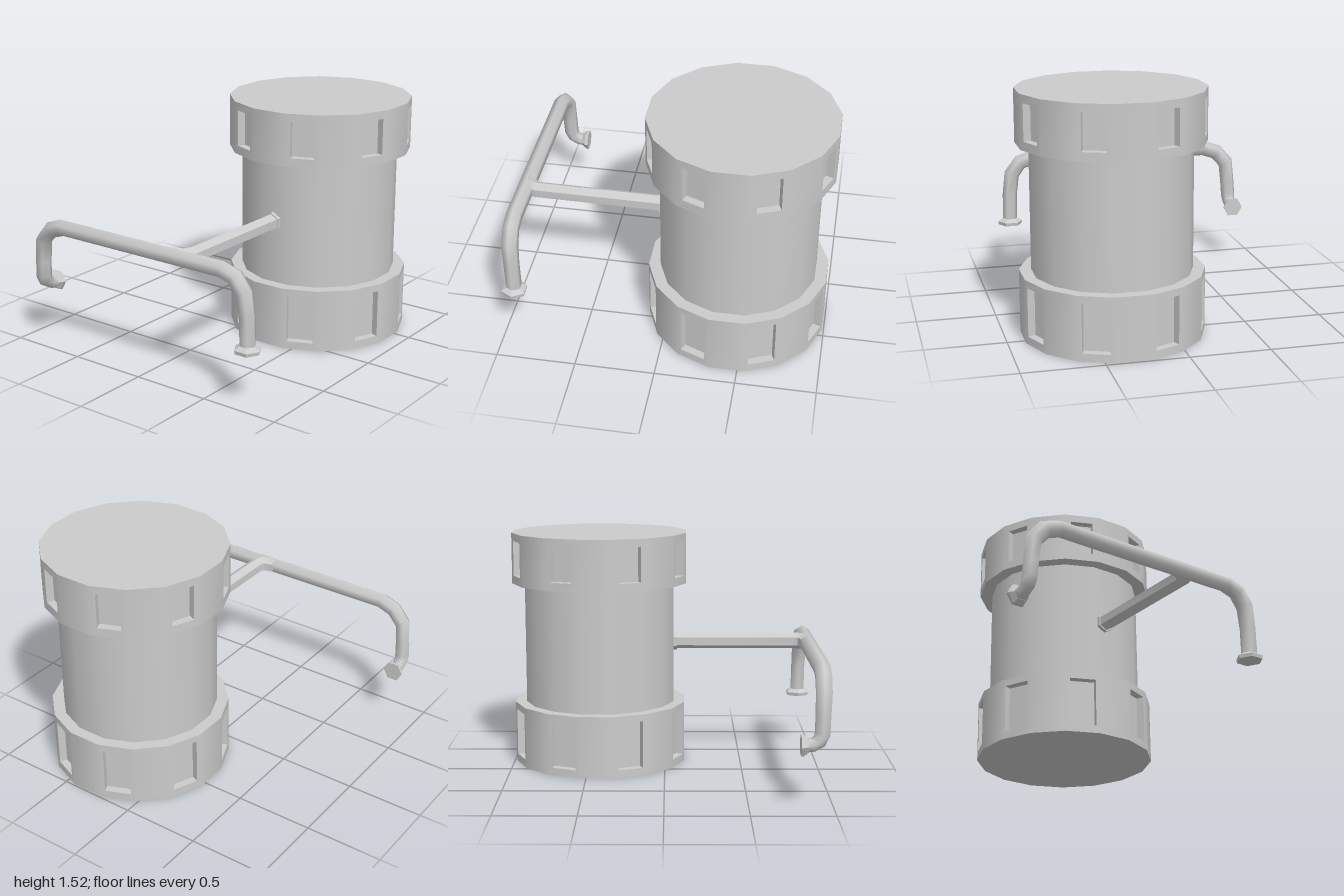
import * as THREE from 'three';
import { toCreasedNormals } from 'three/addons/utils/BufferGeometryUtils.js';

const grey = new THREE.MeshStandardMaterial({ color: 0xcccccc });
const V = (x, y, z) => new THREE.Vector3(x, y, z);

function fromTriangles(points, crease) {
  const g = new THREE.BufferGeometry().setFromPoints(points);
  return toCreasedNormals(g, crease);
}

function add(group, name, geometry) {
  const mesh = new THREE.Mesh(geometry, grey);
  mesh.name = name;
  group.add(mesh);
  return mesh;
}

// Sixteen-sided drum with a recessed window in every second side
function windowedRing(apothem, y0, y1, winWidth, w0, w1, depth) {
  const sides = 16, half = apothem * Math.tan(Math.PI / sides);
  const tris = [];
  const quad = (a, b, c, d) => tris.push(a, b, c, a, c, d);
  for (let i = 0; i < sides; i++) {
    const a = (i / sides) * Math.PI * 2, s = Math.sin(a), c = Math.cos(a);
    const rect = (h, lo, hi, d) => [[-h, lo], [h, lo], [h, hi], [-h, hi]].map(
      ([u, y]) => V(s * (apothem - d) + c * u, y, c * (apothem - d) - s * u));
    const outer = rect(half, y0, y1, 0);
    if (i % 2) {
      const rim = rect(winWidth / 2, w0, w1, 0);
      const floor = rect(winWidth / 2, w0, w1, depth);
      for (let k = 0; k < 4; k++) {
        const n = (k + 1) % 4;
        quad(outer[k], outer[n], rim[n], rim[k]);
        quad(rim[k], rim[n], floor[n], floor[k]);
      }
      quad(...floor);
    } else {
      quad(...outer);
    }
    tris.push(V(0, y1, 0), outer[3], outer[2]);
    tris.push(V(0, y0, 0), outer[1], outer[0]);
  }
  return fromTriangles(tris, 0.6);
}

// Hexagonal section swept along rows of [x, y, z, radius]; up points to a corner
function hexPipe(rows, up, crease) {
  const sides = 6, tris = [];
  const pts = rows.map(([x, y, z]) => V(x, y, z));
  const dir = (i) => pts[i + 1].clone().sub(pts[i]).normalize();
  const last = pts.length - 1;
  let prev = null;
  up = up.clone();
  const rings = pts.map((p, i) => {
    const t = i === 0 ? dir(0) : i === last ? dir(last - 1) : dir(i - 1).add(dir(i)).normalize();
    if (prev) up.applyQuaternion(new THREE.Quaternion().setFromUnitVectors(prev, t));
    up.addScaledVector(t, -up.dot(t)).normalize();
    prev = t;
    const side = t.clone().cross(up);
    return Array.from({ length: sides }, (_, k) => {
      const a = (k / sides) * Math.PI * 2;
      return p.clone().addScaledVector(up, Math.cos(a) * rows[i][3])
        .addScaledVector(side, Math.sin(a) * rows[i][3]);
    });
  });
  for (let k = 0; k < sides; k++) {
    const n = (k + 1) % sides;
    for (let i = 0; i < last; i++) {
      const [a, b, c, d] = [rings[i][k], rings[i][n], rings[i + 1][n], rings[i + 1][k]];
      tris.push(a, b, c, a, c, d);
    }
    tris.push(pts[0], rings[0][n], rings[0][k]);
    tris.push(pts[last], rings[last][k], rings[last][n]);
  }
  return fromTriangles(tris, crease);
}

export function createModel() {
  const model = new THREE.Group();
  model.name = 'tankWithPipes';

  // Tank: body between two windowed rings
  const tank = new THREE.Group();
  tank.name = 'tank';
  tank.position.set(0.43, 0, 0.333);
  model.add(tank);
  add(tank, 'lowerRing', windowedRing(0.558, 0, 0.4, 0.168, 0.05, 0.355, 0.05));
  add(tank, 'upperRing', windowedRing(0.566, 1.19, 1.52, 0.146, 1.245, 1.47, 0.05));
  const body = new THREE.CylinderGeometry(0.495, 0.495, 0.83, 16, 1, true);
  body.rotateY(Math.PI / 16).translate(0, 0.795, 0);
  add(tank, 'body', body);

  // Long pipe: front foot, up and back, down again, then turned inward
  const r = 0.053;
  add(model, 'longPipe', hexPipe([
    [-0.925, 0.36, 0.76, 0.05], [-0.928, 0.55, 0.757, 0.05],
    [-0.932, 0.69, 0.74, r], [-0.935, 0.77, 0.68, r], [-0.937, 0.798, 0.59, r],
    [-0.937, 0.798, -0.65, r], [-0.935, 0.765, -0.745, r], [-0.932, 0.685, -0.815, r],
    [-0.928, 0.55, -0.828, 0.05], [-0.925, 0.45, -0.835, 0.05],
    [-0.908, 0.405, -0.836, 0.046], [-0.87, 0.382, -0.836, 0.042], [-0.82, 0.38, -0.836, 0.045],
  ], V(0, 0, 1), 1.2));

  // Flared hexagonal flanges on both pipe ends
  add(model, 'frontFlange', hexPipe([
    [-0.925, 0.335, 0.76, 0.08], [-0.925, 0.357, 0.76, 0.084], [-0.925, 0.378, 0.76, 0.05],
  ], V(0, 0, 1), 0.3));
  add(model, 'rearFlange', hexPipe([
    [-0.845, 0.38, -0.836, 0.044], [-0.818, 0.38, -0.836, 0.066], [-0.8, 0.38, -0.836, 0.068],
  ], V(0, 0, 1), 0.3));

  // Stem from the tank wall, curving into the long pipe
  add(model, 'stem', hexPipe([
    [-0.03, 0.798, 0.315, r], [-0.86, 0.798, 0.31, r], [-0.905, 0.798, 0.29, r],
    [-0.928, 0.798, 0.25, r], [-0.934, 0.798, 0.19, 0.05],
  ], V(0, 1, 0), 0.6));
  add(model, 'stemCollar', hexPipe([
    [-0.03, 0.798, 0.315, 0.063], [-0.08, 0.798, 0.315, 0.063],
  ], V(0, 1, 0), 0.3));

  return model;
}
